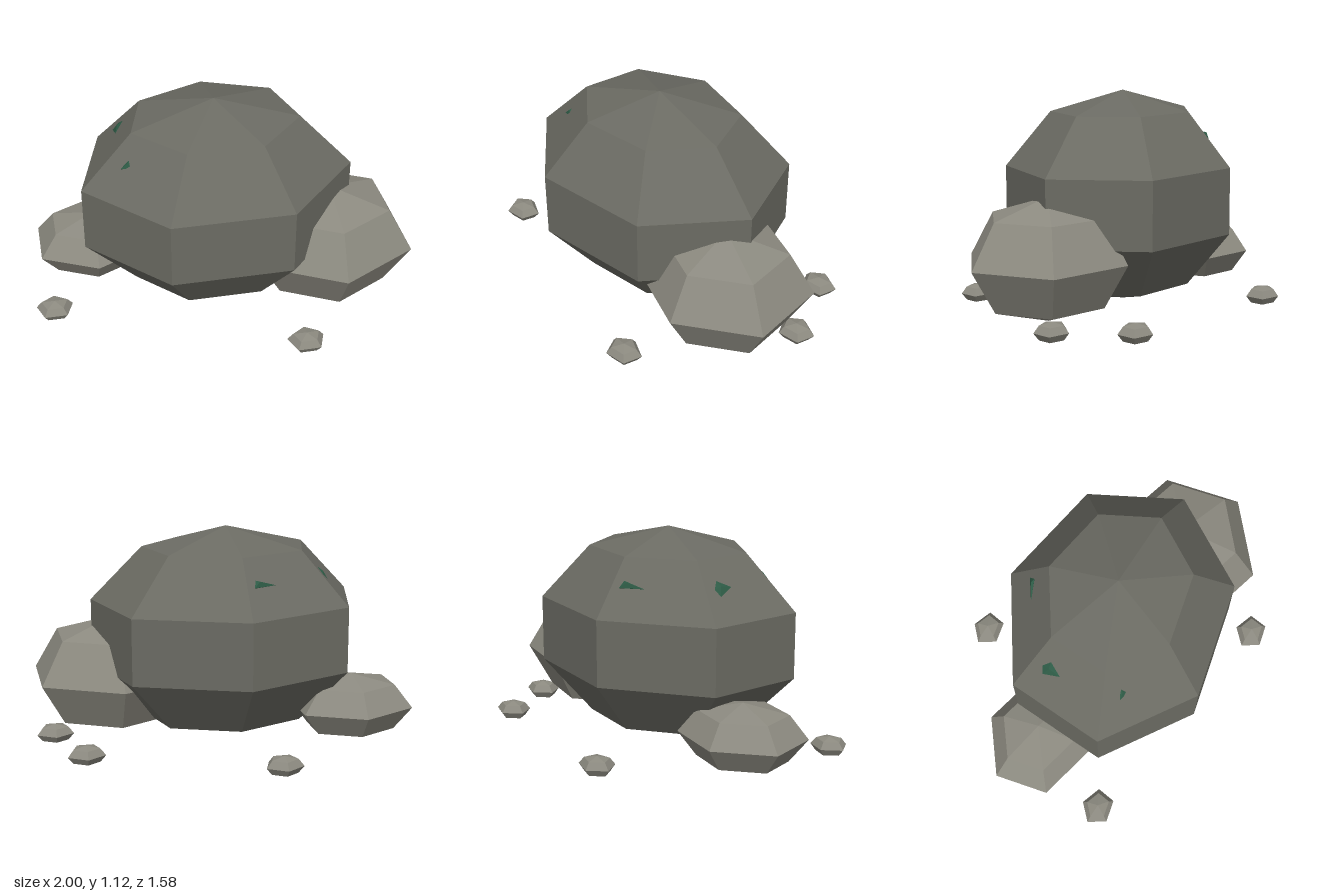
import * as THREE from 'three';
import { ConvexGeometry } from 'three/addons/geometries/ConvexGeometry.js';

const stone = (color) => new THREE.MeshStandardMaterial({ color, flatShading: true });

export function createModel() {
  const group = new THREE.Group();
  const dark = stone(0x6b6b63);
  const light = stone(0x8c8a80);
  const moss = stone(0x2d5a45);

  // Faceted rock: a coarse sphere with one corner pointing to -z, stretched to its radii
  function rock(name, material, sides, rings, center, radii) {
    const geometry = new THREE.SphereGeometry(1, sides, rings, -Math.PI / 2);
    geometry.scale(...radii);
    const mesh = new THREE.Mesh(geometry, material);
    mesh.name = name;
    mesh.position.set(...center);
    group.add(mesh);
  }

  // Large boulder and the two stones leaning on it
  rock('mainBoulder', dark, 7, 5, [-0.02, 0.562, 0.03], [0.755, 0.56, 0.62]);
  rock('leftStone', light, 6, 4, [0.56, 0.317, 0.205], [0.465, 0.314, 0.425]);
  rock('rightStone', light, 6, 4, [-0.65, 0.174, -0.2], [0.34, 0.17, 0.285]);

  // Pebbles scattered around
  const pebbles = [[0.33, 0.715], [0.9, 0.033], [0.78, -0.34], [-0.14, -0.71], [-0.905, 0.22]];
  pebbles.forEach(([x, z], i) =>
    rock(`pebble${i + 1}`, light, 5, 4, [x, 0.053, z], [0.1, 0.05, 0.086]));

  // Moss tufts: an outline on the boulder, a raised peak and a root sunk inside
  function tuft(name, outline, peak) {
    const points = [...outline, peak].map((p) => new THREE.Vector3(...p));
    points.push(new THREE.Vector3(peak[0] * 0.9, peak[1] - 0.1, peak[2] * 0.9));
    const mesh = new THREE.Mesh(new ConvexGeometry(points), moss);
    mesh.name = name;
    group.add(mesh);
  }
  tuft('mossSide',
    [[-0.52, 0.837, -0.21], [-0.47, 0.877, -0.24], [-0.41, 0.957, -0.165], [-0.52, 0.879, -0.06]],
    [-0.49, 0.9, -0.17]);
  tuft('mossBack',
    [[-0.18, 0.88, -0.38], [-0.06, 0.88, -0.43], [-0.07, 0.912, -0.4]],
    [-0.09, 0.907, -0.41]);
  tuft('mossFront',
    [[-0.52, 0.875, 0.21], [-0.47, 0.922, 0.19], [-0.47, 0.888, 0.235]],
    [-0.485, 0.908, 0.212]);

  return group;
}
